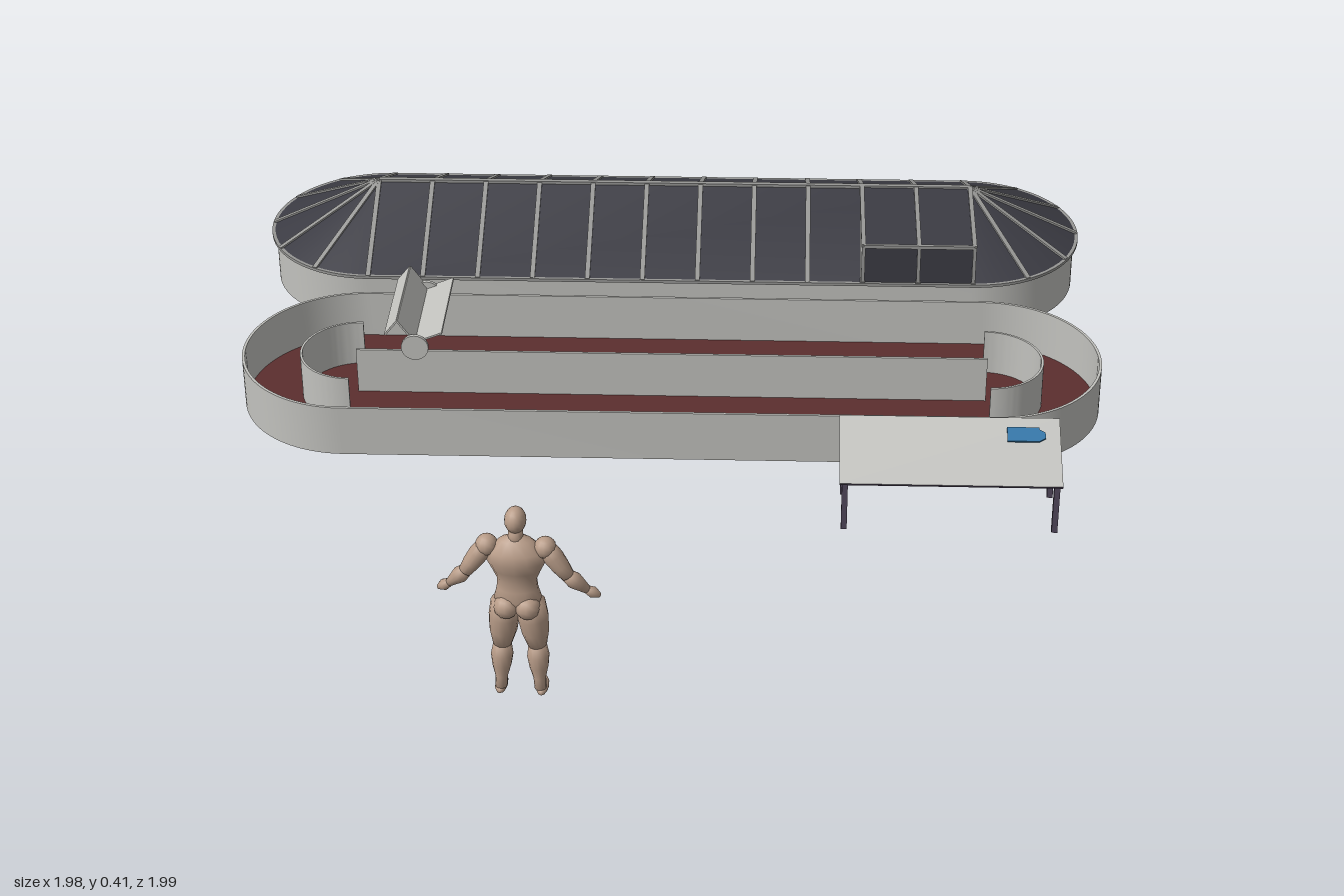
import * as THREE from 'three';
import { toCreasedNormals } from 'three/addons/utils/BufferGeometryUtils.js';

const V = (x, y, z) => new THREE.Vector3(x, y, z);
const mat = (name, color, side = THREE.FrontSide) => {
  const m = new THREE.MeshStandardMaterial({ color, side });
  m.name = name;
  return m;
};

export function createModel() {
  const concrete = mat('light concrete', 0xc2c2be);
  const sheet = mat('light sheet', 0xc2c2be, THREE.DoubleSide);
  const red = mat('dark red liner', 0x5c2e2e);
  const glazing = mat('dark roof panel', 0x3b3b43, THREE.DoubleSide);
  const metal = mat('grey frame', 0x979795);
  const purple = mat('dark purple steel', 0x51475c);
  const blue = mat('blue marker', 0x2f74a6);
  const skin = mat('tan skin', 0xb89c88);

  const model = new THREE.Group();
  const TURN = -0.44;      // all structures share one heading
  const L = 0.69;          // half length between end centres
  const H = 0.115;         // wall height

  const add = (parent, name, geo, material, x = 0, y = 0, z = 0) => {
    const m = new THREE.Mesh(geo, material);
    m.name = name;
    m.position.set(x, y, z);
    parent.add(m);
    return m;
  };
  const group = (name, x, z, turn) => {
    const g = new THREE.Group();
    g.name = name;
    g.position.set(x, 0, z);
    g.rotation.y = turn;
    model.add(g);
    return g;
  };
  const beam = (parent, name, a, b, w, h, material) => {
    const m = add(parent, name, new THREE.BoxGeometry(w, h, a.distanceTo(b)), material);
    m.position.copy(a).lerp(b, 0.5);
    m.quaternion.setFromRotationMatrix(new THREE.Matrix4().lookAt(b, a, V(0, 1, 0)));
    return m;
  };

  // Stadium outline and upright extrusions
  const outline = (Type, r) => {
    const s = new Type();
    s.absarc(L, 0, r, -Math.PI / 2, Math.PI / 2, false);
    s.absarc(-L, 0, r, Math.PI / 2, Math.PI * 1.5, false);
    s.closePath();
    return s;
  };
  const upright = (shape, depth) => {
    const g = new THREE.ExtrudeGeometry(shape, { depth, bevelEnabled: false, curveSegments: 28 });
    return toCreasedNormals(g.rotateX(-Math.PI / 2), 0.5);
  };
  const ring = (r, t, depth) => {
    const s = outline(THREE.Shape, r);
    s.holes.push(outline(THREE.Path, r - t));
    return upright(s, depth);
  };

  // Raceway pond: outer wall, floor, centre divider, curved end baffles
  const pond = (name, x, z) => {
    const g = group(name, x, z, TURN);
    add(g, 'outerWall', ring(0.247, 0.006, H), concrete);
    add(g, 'floor', upright(outline(THREE.Shape, 0.243), 0.006), red, 0, 0.001, 0);
    add(g, 'divider', new THREE.BoxGeometry(2 * L, H - 0.004, 0.006), concrete, 0, H / 2, 0);
    for (const s of [-1, 1]) {
      const c = new THREE.Shape();
      c.absarc(0, 0, 0.122, -Math.PI / 2, Math.PI / 2, false);
      c.absarc(0, 0, 0.117, Math.PI / 2, -Math.PI / 2, true);
      add(g, 'endBaffle', upright(c, H - 0.004), concrete, s * L, 0, 0).rotation.y = s < 0 ? Math.PI : 0;
    }
    return g;
  };
  const open = pond('openPond', -0.12, 0.065);
  const covered = pond('coveredPond', 0.108, -0.456);

  // Folded paddle wheel cover over one channel of the open pond
  const fold = [[-0.625, 0.15], [-0.597, 0.185], [-0.56, 0.132], [-0.5, 0.156]];
  for (let i = 0; i < 3; i++) {
    const [a, b] = [fold[i], fold[i + 1]];
    const len = Math.hypot(b[0] - a[0], b[1] - a[1]);
    const p = add(open, 'wheelCover', new THREE.BoxGeometry(len, 0.004, 0.245), sheet,
      (a[0] + b[0]) / 2, (a[1] + b[1]) / 2, -0.122);
    p.rotation.z = Math.atan2(b[1] - a[1], b[0] - a[0]);
  }
  for (const z of [-0.236, 0.003]) {
    add(open, 'wheelDisc', new THREE.CylinderGeometry(0.03, 0.03, 0.008, 24).rotateX(Math.PI / 2),
      concrete, -0.56, 0.122, z);
  }
  add(open, 'wheelShaft', new THREE.CylinderGeometry(0.008, 0.008, 0.24, 12).rotateX(Math.PI / 2),
    metal, -0.56, 0.11, -0.12);

  // Hipped roof with rounded ends
  const R = 0.254, TOP = 0.235, SEG = 30;
  const eave = [];
  for (const s of [1, -1]) {
    for (let i = 0; i <= SEG; i++) {
      const t = -Math.PI / 2 + (i / SEG) * Math.PI;
      eave.push([V(s * L, TOP, 0), V(s * (L + R * Math.cos(t)), H + 0.003, s * R * Math.sin(t))]);
    }
  }
  const tris = [];
  eave.forEach(([a, p], i) => {
    const [b, q] = eave[(i + 1) % eave.length];
    tris.push(a, q, p);
    if (a.x !== b.x) tris.push(a, b, q);
  });
  add(covered, 'roofPanels', toCreasedNormals(new THREE.BufferGeometry().setFromPoints(tris), 0.4), glazing);
  add(covered, 'eaveRing', ring(0.257, 0.012, 0.007), metal, 0, H - 0.002, 0);
  beam(covered, 'ridge', V(-L, TOP, 0), V(L, TOP, 0), 0.012, 0.008, metal);
  const rib = (a, p) => beam(covered, 'roofRib', a, p, 0.011, 0.008, metal);
  const BAYS = 11;
  for (let i = 0; i <= BAYS; i++) {
    const x = -L + (2 * L * i) / BAYS;
    for (const s of [-1, 1]) rib(V(x, TOP, 0), V(x, H + 0.003, s * R));
  }
  for (const s of [-1, 1]) {
    for (let i = 1; i < 6; i++) {
      const t = -Math.PI / 2 + (i * Math.PI) / 6;
      rib(V(s * L, TOP, 0), V(s * (L + R * Math.cos(t)), H + 0.003, R * Math.sin(t)));
    }
  }

  // Raised dormer over two roof bays
  const D0 = L - (4 * L) / BAYS, DY = 0.213;
  const wedge = new THREE.Shape([[0, TOP], [0.25, H], [0.25, DY]].map(p => new THREE.Vector2(...p)));
  const wedgeGeo = new THREE.ExtrudeGeometry(wedge, { depth: L - D0, bevelEnabled: false });
  add(covered, 'dormer', wedgeGeo.rotateY(-Math.PI / 2), glazing, L, 0, 0);
  for (const x of [D0, (D0 + L) / 2, L]) {
    beam(covered, 'dormerRafter', V(x, TOP, 0), V(x, DY, 0.25), 0.01, 0.008, metal);
    add(covered, 'dormerPost', new THREE.BoxGeometry(0.008, DY - H, 0.008), metal, x, (DY + H) / 2, 0.25);
  }
  beam(covered, 'dormerHeader', V(D0, DY, 0.25), V(L, DY, 0.25), 0.008, 0.008, metal);

  // Tilted panel on four legs
  const stand = group('panelStand', 0.23, 0.703, TURN);
  const TILT = 0.43;
  const panel = add(stand, 'panel', new THREE.BoxGeometry(0.452, 0.006, 0.166),
    [purple, purple, concrete, purple, purple, purple], 0, 0.148, 0);
  panel.rotation.x = TILT;
  add(panel, 'marker', new THREE.BoxGeometry(0.066, 0.005, 0.034), blue, 0.15, 0.005, -0.04);
  add(panel, 'markerEnd', new THREE.CylinderGeometry(0.014, 0.014, 0.005, 6), blue, 0.183, 0.005, -0.038);
  for (const x of [-0.215, 0.215]) {
    for (const z of [-0.064, 0.064]) {
      const h = 0.146 - z * Math.tan(TILT);
      add(stand, 'panelLeg', new THREE.BoxGeometry(0.012, h, 0.012), purple, x, h / 2, z);
    }
  }

  // Standing figure, facing the ponds (local -z)
  const man = group('figure', -0.785, 0.917, -0.5);
  const limb = (name, a, b, radii) => {
    const len = a.distanceTo(b), n = radii.length - 1;
    const pts = [new THREE.Vector2(0, -radii[0] * 0.5)];
    radii.forEach((r, i) => pts.push(new THREE.Vector2(r, (len * i) / n)));
    pts.push(new THREE.Vector2(0, len + radii[n] * 0.5));
    const m = add(man, name, new THREE.LatheGeometry(pts, 14), skin, a.x, a.y, a.z);
    m.quaternion.setFromUnitVectors(V(0, 1, 0), b.clone().sub(a).normalize());
    return m;
  };
  limb('torso', V(0, 0.2, 0), V(0, 0.348, 0), [0.036, 0.045, 0.039, 0.037, 0.046, 0.056, 0.052, 0.03]).scale.z = 0.62;
  limb('neck', V(0, 0.34, 0), V(0, 0.375, -0.004), [0.018, 0.014, 0.014]);
  add(man, 'head', new THREE.SphereGeometry(0.022, 16, 12), skin, 0, 0.387, -0.005).scale.set(0.92, 1.18, 1.1);
  for (const s of [-1, 1]) {
    add(man, 'shoulder', new THREE.SphereGeometry(0.021, 12, 10), skin, s * 0.054, 0.333, 0);
    add(man, 'chest', new THREE.SphereGeometry(0.026, 12, 8), skin, s * 0.023, 0.313, -0.018).scale.set(1, 0.75, 0.6);
    add(man, 'buttock', new THREE.SphereGeometry(0.024, 12, 8), skin, s * 0.02, 0.207, 0.014);
    limb('upperArm', V(s * 0.056, 0.333, 0), V(s * 0.095, 0.275, 0.004), [0.017, 0.019, 0.017, 0.013]);
    limb('forearm', V(s * 0.095, 0.275, 0.004), V(s * 0.128, 0.238, -0.008), [0.013, 0.016, 0.012, 0.008]);
    limb('hand', V(s * 0.128, 0.238, -0.008), V(s * 0.15, 0.222, -0.014), [0.008, 0.011, 0.005]);
    limb('thigh', V(s * 0.024, 0.21, 0), V(s * 0.033, 0.112, -0.003), [0.027, 0.029, 0.026, 0.018]);
    limb('shin', V(s * 0.033, 0.112, -0.003), V(s * 0.037, 0.016, 0.005), [0.017, 0.021, 0.018, 0.012, 0.011]);
    add(man, 'foot', new THREE.SphereGeometry(0.012, 12, 8), skin, s * 0.039, 0.011, -0.009).scale.set(1, 0.92, 2.4);
  }
  return model;
}
